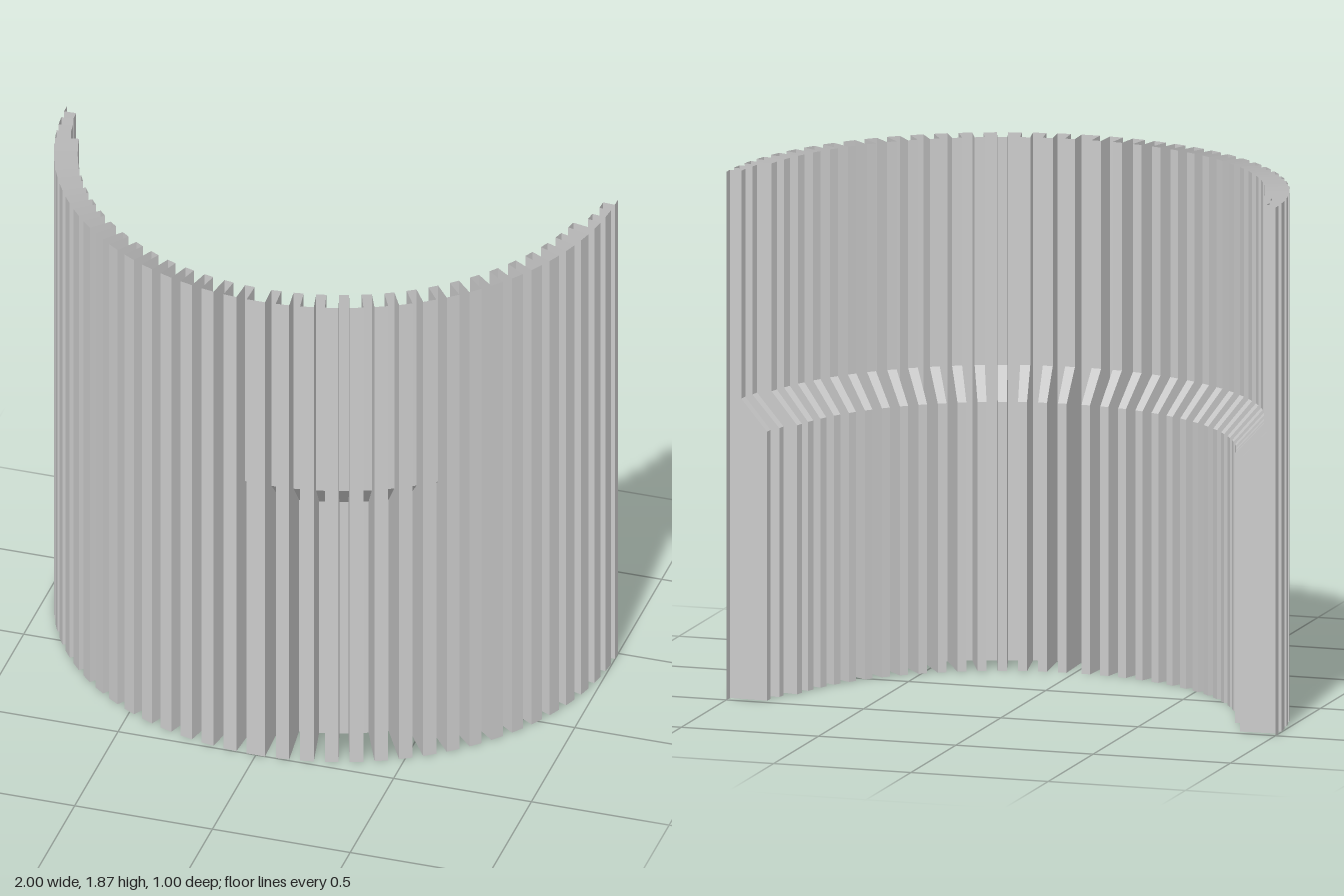
import * as THREE from 'three';

const HEIGHT = 1.865, STEP_TOP = 1.06, STEP_LOW = 0.95;
const OUTER = 1, PER_SIDE = 18, HALF_GROOVE = 1.1;
const FIRST = 3.2, PITCH = (87 - FIRST) / (PER_SIDE - 1);

// Point on the half circle: angle in degrees from +x, swinging through the front
function polar(deg, r, y) {
  const a = THREE.MathUtils.degToRad(deg);
  return [r * Math.cos(a), y, r * Math.sin(a) - 0.5];
}

// Quad from four corners, appended as two triangles
function quad(out, a, b, c, d) {
  out.push(...a, ...b, ...c, ...a, ...c, ...d);
}

// Vertical strip between two edges, each edge a list of points from bottom to top
function strip(out, left, right) {
  for (let i = 0; i < left.length - 1; i++) quad(out, left[i], right[i], right[i + 1], left[i + 1]);
}

export function createModel() {
  const group = new THREE.Group();
  const material = new THREE.MeshStandardMaterial({
    color: 0xcccccc, flatShading: true, side: THREE.DoubleSide,
  });

  // Groove centres with upper and lower floor radii; the last two at each end are shallower
  const grooves = [];
  for (let i = 0; i < PER_SIDE; i++) {
    const [upper, lower] = i === 0 ? [0.957, 0.862] : i === 1 ? [0.95, 0.847] : [0.917, 0.815];
    grooves.push({ angle: FIRST + i * PITCH, upper, lower });
  }
  for (let i = PER_SIDE - 1; i >= 0; i--) grooves.push({ ...grooves[i], angle: 180 - grooves[i].angle });

  const levels = [0, STEP_LOW, STEP_TOP, HEIGHT];
  const outerEdge = (deg) => levels.map((y) => polar(deg, OUTER, y));
  const floorEdge = (deg, g) => levels.map((y, i) => polar(deg, i < 2 ? g.lower : g.upper, y));

  const ridges = [], walls = [], floors = [];
  let ridgeStart = 0;
  for (const g of grooves) {
    const a = g.angle - HALF_GROOVE, b = g.angle + HALF_GROOVE;
    strip(ridges, outerEdge(b < 0 ? 0 : a), outerEdge(ridgeStart)); // ridge before this groove
    strip(walls, floorEdge(a, g), outerEdge(a));                    // radial side walls
    strip(walls, outerEdge(b), floorEdge(b, g));
    strip(floors, floorEdge(b, g), floorEdge(a, g));                // floor, stepped inwards low down
    ridgeStart = b;
  }
  strip(ridges, outerEdge(180), outerEdge(ridgeStart));

  for (const [name, points] of [['outerRidges', ridges], ['grooveWalls', walls], ['grooveFloors', floors]]) {
    const geometry = new THREE.BufferGeometry();
    geometry.setAttribute('position', new THREE.Float32BufferAttribute(points, 3));
    geometry.computeVertexNormals();
    const mesh = new THREE.Mesh(geometry, material);
    mesh.name = name;
    group.add(mesh);
  }
  group.name = 'corrugatedHalfShell';
  return group;
}
